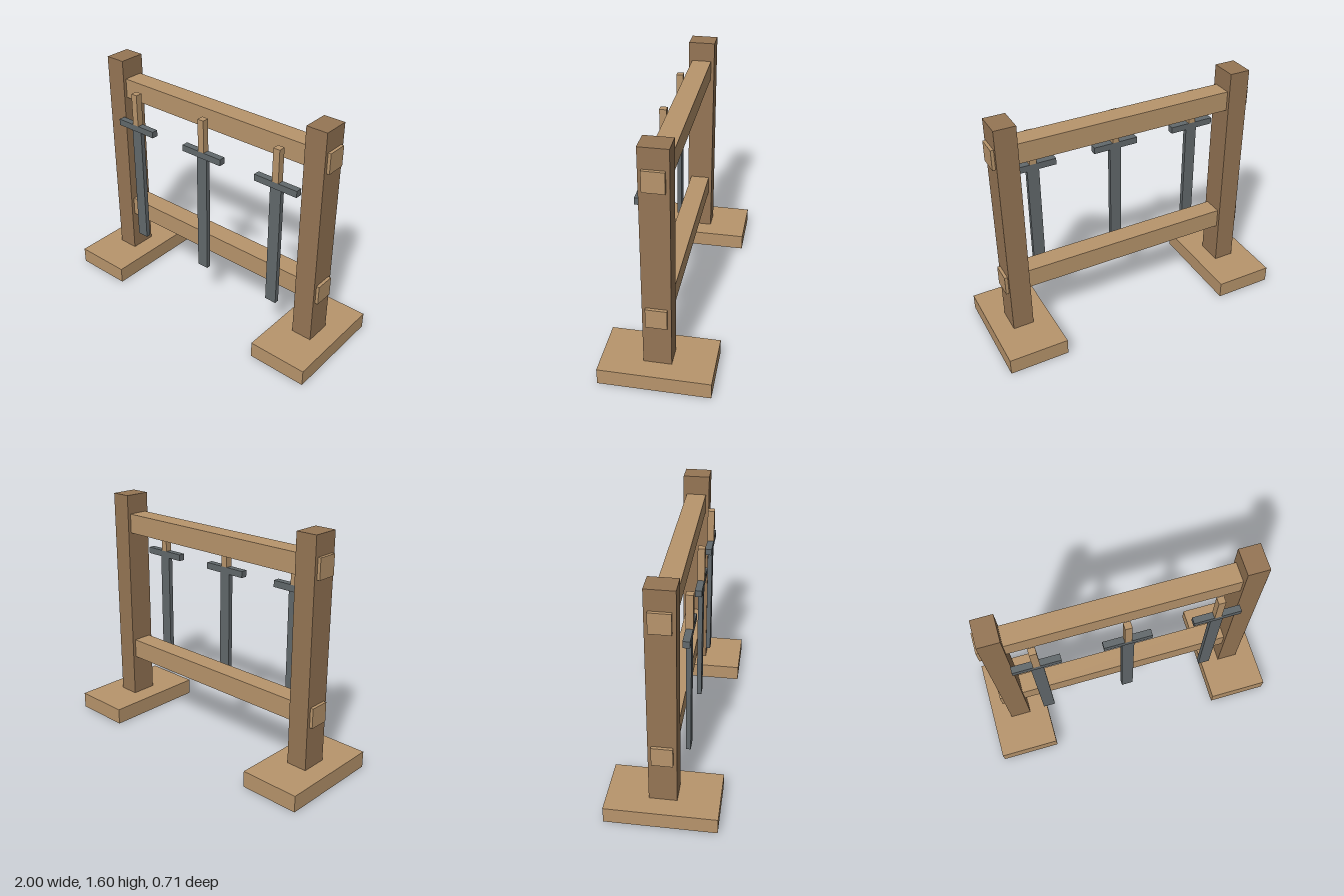
import * as THREE from 'three';

const paint = (color) => new THREE.MeshStandardMaterial({ color, flatShading: true });

export function createModel() {
  const model = new THREE.Group();
  model.name = 'swordRack';
  const lightWood = paint(0xb8956c);
  const darkWood = paint(0x967655);
  const steel = paint(0x62696c);

  // Box given by its size, centre x and z, and bottom height
  function box(parent, name, material, [w, h, d], x, bottom, z) {
    const mesh = new THREE.Mesh(new THREE.BoxGeometry(w, h, d), material);
    mesh.name = name;
    mesh.position.set(x, bottom + h / 2, z);
    parent.add(mesh);
  }

  // Feet and posts
  for (const [side, s] of [['left', 1], ['right', -1]]) {
    box(model, side + 'Foot', lightWood, [0.4, 0.11, 0.712], s * 0.8, 0, 0);
    box(model, side + 'Post', darkWood, [0.14, 1.49, 0.178], s * 0.8, 0.11, 0);
  }

  // Rails, their ends passing through the posts
  box(model, 'lowerRail', lightWood, [1.78, 0.133, 0.133], 0, 0.4, 0);
  box(model, 'upperRail', lightWood, [1.78, 0.133, 0.133], 0, 1.336, 0);

  // Three swords hanging point down in front of the rails
  for (const x of [-0.578, 0, 0.578]) {
    const sword = new THREE.Group();
    sword.name = 'sword';
    sword.position.set(x, 0, 0.124);
    box(sword, 'blade', steel, [0.08, 0.845, 0.031], 0, 0.313, 0);
    box(sword, 'guard', steel, [0.311, 0.044, 0.044], 0, 1.158, 0);
    box(sword, 'grip', lightWood, [0.046, 0.223, 0.046], 0, 1.202, 0);
    model.add(sword);
  }
  return model;
}
